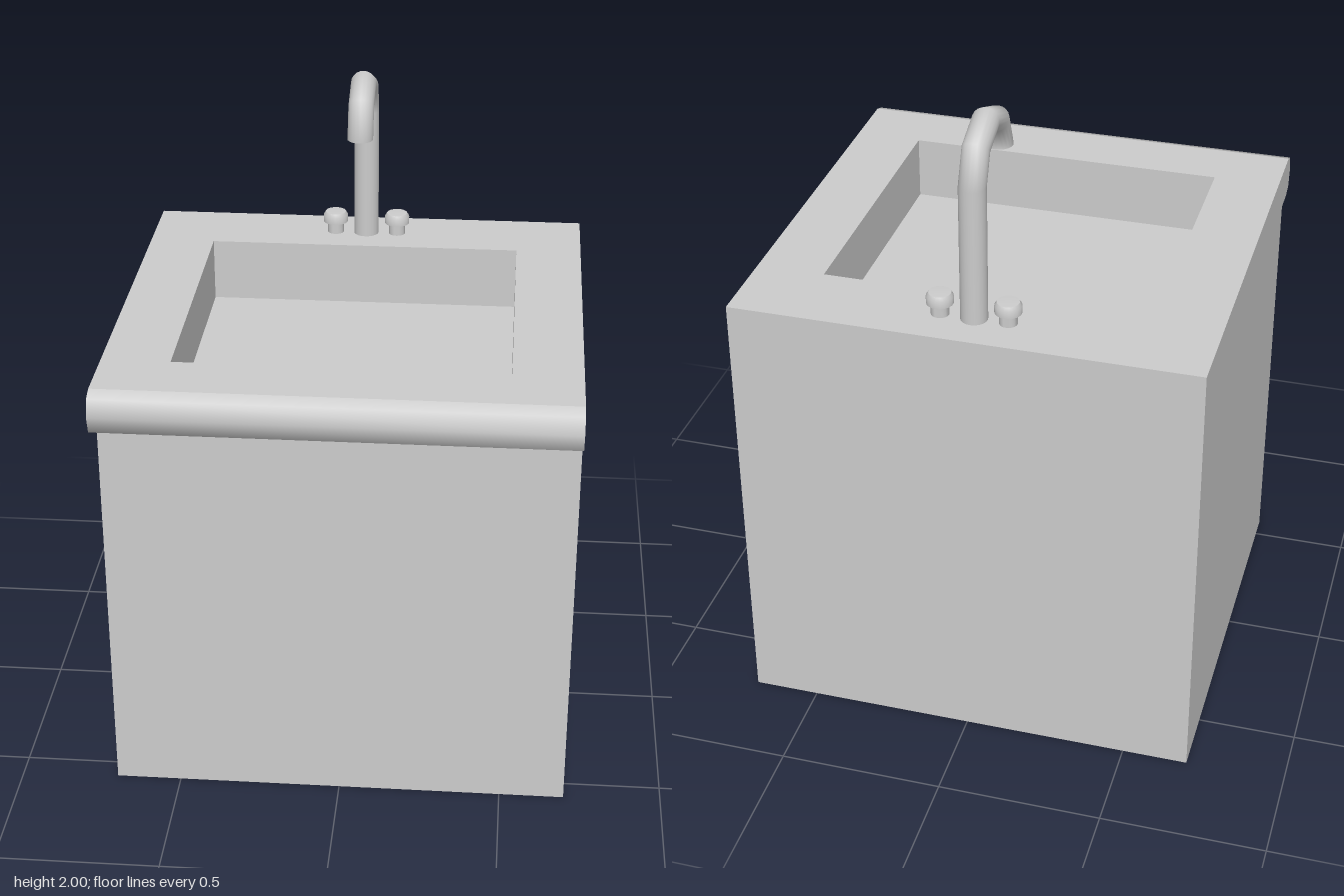
import * as THREE from 'three';
import { toCreasedNormals } from 'three/addons/utils/BufferGeometryUtils.js';

const grey = new THREE.MeshStandardMaterial({ color: 0xcccccc, side: THREE.DoubleSide });
const HALF = 0.7, TOP = 1.405, BACK = -0.7, FRONT = 0.57;

function part(name, geometry, parent, x = 0, y = 0, z = 0) {
  const mesh = new THREE.Mesh(geometry, grey);
  mesh.name = name;
  mesh.position.set(x, y, z);
  parent.add(mesh);
  return mesh;
}

// Sweeps an open [z, y] profile straight across the width
function panelStrip(profile) {
  const pos = [];
  for (let i = 0; i < profile.length - 1; i++) {
    const [z0, y0] = profile[i], [z1, y1] = profile[i + 1];
    const a = [-HALF, y0, z0], b = [HALF, y0, z0], c = [HALF, y1, z1], d = [-HALF, y1, z1];
    pos.push(...a, ...c, ...b, ...a, ...d, ...c);
  }
  const g = new THREE.BufferGeometry();
  g.setAttribute('position', new THREE.Float32BufferAttribute(pos, 3));
  return toCreasedNormals(g, 1.1);
}

export function createModel() {
  const model = new THREE.Group();
  model.name = 'sink';

  // Rounded front lip, from the worktop round to its underside
  const lip = [[0.647, TOP], [0.685, 1.391], [0.7, 1.338], [0.685, 1.285], [0.647, 1.27]];

  // Cabinet: open underneath
  const cabinet = new THREE.Group();
  cabinet.name = 'cabinet';
  model.add(cabinet);
  part('backPanel', panelStrip([[BACK, TOP], [BACK, 0]]).scale(-1, 1, 1), cabinet);
  part('frontPanel', panelStrip([[FRONT, 0], [FRONT, 1.27]].reverse()), cabinet);
  part('frontLip', panelStrip([...lip, [FRONT, 1.27]]), cabinet);

  // Side panels carry the profile of the lip
  const outline = [[BACK, 0], [BACK, TOP], ...lip, [FRONT, 1.27], [FRONT, 0]];
  for (const s of [-1, 1]) {
    const shape = new THREE.Shape(outline.map(([z, y]) => new THREE.Vector2(-s * z, y)));
    part(s > 0 ? 'leftPanel' : 'rightPanel', new THREE.ShapeGeometry(shape), cabinet, s * HALF)
      .rotation.y = s * Math.PI / 2;
  }

  // Worktop with the basin opening
  const rect = (C, x0, x1, z0, z1) => new C([[x0, -z0], [x1, -z0], [x1, -z1], [x0, -z1]]
    .map(([x, y]) => new THREE.Vector2(x, y)));
  const top = rect(THREE.Shape, -HALF, HALF, BACK, 0.647);
  top.holes.push(rect(THREE.Path, -0.495, 0.493, -0.45, 0.457));
  part('worktop', new THREE.ShapeGeometry(top).rotateX(-Math.PI / 2), model, 0, TOP, 0);

  // Basin: a box without its top face
  const basin = new THREE.BoxGeometry(0.988, 0.2, 0.907);
  const index = Array.from(basin.index.array);
  index.splice(12, 6);
  basin.setIndex(index);
  basin.clearGroups();
  part('basin', basin, model, -0.001, TOP - 0.1, 0.0035);

  // Faucet: upright pipe and a coarse gooseneck arc
  const faucet = new THREE.Group();
  faucet.name = 'faucet';
  faucet.position.set(-0.003, 0, -0.57);
  model.add(faucet);
  const r = 0.04, bend = 0.136, springY = 1.826;
  part('pipe', new THREE.CylinderGeometry(r, r, springY - TOP, 20, 1, true), faucet, 0, (springY + TOP) / 2, 0);
  part('spout', new THREE.TorusGeometry(bend, r, 20, 4, Math.PI).rotateY(-Math.PI / 2),
    faucet, 0, springY, bend);

  // Tap knobs: narrow stem under a cap with a bevelled top
  const knob = [[0.027, 0], [0.027, 0.035], [0.04, 0.037], [0.04, 0.06], [0.033, 0.071], [0, 0.073]]
    .map(([x, y]) => new THREE.Vector2(x, y));
  for (const s of [-1, 1]) {
    part(s > 0 ? 'leftKnob' : 'rightKnob',
      toCreasedNormals(new THREE.LatheGeometry(knob, 20), 0.9), faucet, s * 0.101, TOP, 0);
  }
  return model;
}
